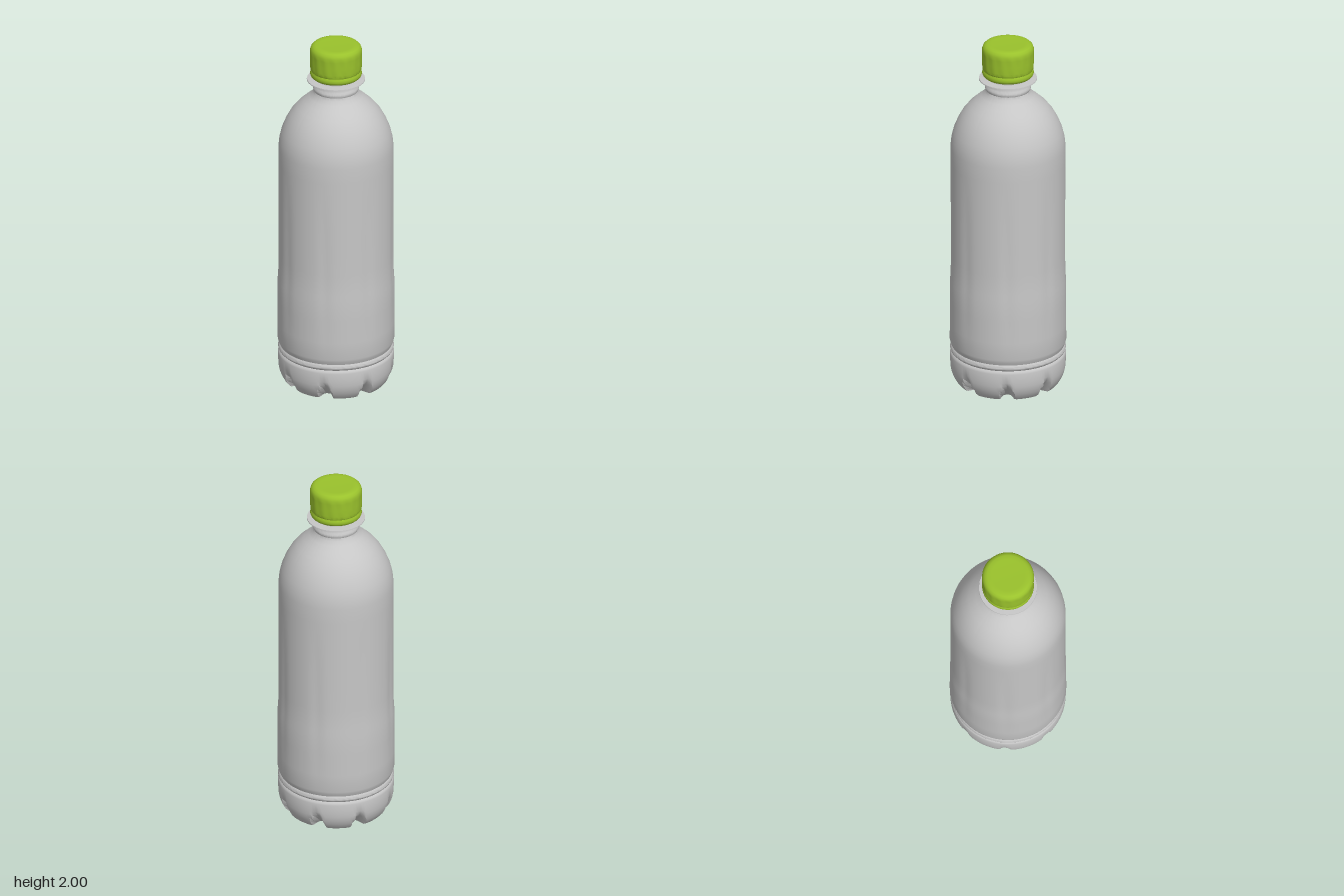
import * as THREE from 'three';
import { toCreasedNormals } from 'three/addons/utils/BufferGeometryUtils.js';

const START = THREE.MathUtils.degToRad(-5); // direction of the first base notch
const STEP = Math.PI / 4;                   // eight notches and flutes
const clamp = THREE.MathUtils.clamp;

// Revolves a [radius, height] profile; reshape(r, y, angle) may alter each radius.
function turned(name, profile, segments, material, reshape) {
  const points = profile.map(([r, y]) => new THREE.Vector2(r, y));
  const geometry = new THREE.LatheGeometry(points, segments, START);
  const pos = geometry.attributes.position;
  if (reshape) {
    for (let i = 0; i < pos.count; i++) {
      const x = pos.getX(i), y = pos.getY(i), z = pos.getZ(i);
      const r = Math.hypot(x, z);
      if (r < 0.01) continue;
      const s = reshape(r, y, Math.atan2(x, z) - START) / r;
      pos.setXYZ(i, x * s, y, z * s);
    }
  }
  const mesh = new THREE.Mesh(toCreasedNormals(geometry, 0.7), material);
  mesh.name = name;
  return mesh;
}

// Wedge-shaped notches between the feet, and faint upright flutes on the wall
function shapeBody(r, y, angle) {
  const offset = Math.abs(angle - STEP * Math.round(angle / STEP));
  if (y < 0.115 && r > 0.25) {
    const up = y / 0.115;
    const halfWidth = 0.15 - 0.09 * up;
    const cut = clamp((halfWidth - offset) / 0.06, 0, 1);
    return r - 0.065 * (1 - up) * cut;
  }
  if (y > 0.25 && y < 1.3) {
    const fade = Math.sin(Math.PI * (y - 0.25) / 1.05);
    return r - 0.004 * fade * clamp(1 - offset / 0.15, 0, 1);
  }
  return r;
}

// Soft grip ripples around the cap
function shapeCap(r, y, angle) {
  return y > 1.86 && y < 1.96 ? r - 0.0015 * (1 + Math.cos(angle * 16)) : r;
}

export function createModel() {
  const plastic = new THREE.MeshStandardMaterial({ color: 0xc6c6c6 });
  plastic.name = 'grey plastic';
  const green = new THREE.MeshStandardMaterial({ color: 0x9ac22c });
  green.name = 'green plastic';

  const bottle = new THREE.Group();
  bottle.name = 'bottle';

  // Base, grooved band, wall, shoulder and neck
  bottle.add(turned('body', [
    [0, 0], [0.2, 0], [0.272, 0], [0.285, 0.015], [0.299, 0.04], [0.308, 0.065],
    [0.313, 0.09], [0.314, 0.115], [0.315, 0.165], [0.312, 0.176], [0.305, 0.183],
    [0.312, 0.19], [0.315, 0.2], [0.312, 0.21], [0.306, 0.218], [0.313, 0.235],
    [0.317, 0.25], [0.317, 0.35], [0.317, 0.48], [0.317, 0.6], [0.314, 0.63],
    [0.313, 0.75], [0.313, 0.9], [0.313, 1.05], [0.313, 1.18], [0.313, 1.3],
    [0.313, 1.39], [0.308, 1.44], [0.296, 1.49], [0.276, 1.54], [0.249, 1.59],
    [0.213, 1.635], [0.175, 1.67], [0.145, 1.695], [0.126, 1.715], [0.12, 1.73],
    [0.124, 1.738], [0.124, 1.75], [0.118, 1.758], [0.114, 1.77], [0.114, 1.82],
  ], 128, plastic, shapeBody));

  // Thin collar under the cap
  bottle.add(turned('collar', [
    [0.11, 1.786], [0.15, 1.789], [0.159, 1.793], [0.158, 1.798], [0.11, 1.801],
  ], 32, plastic));

  // Cap with tamper band and rounded top
  bottle.add(turned('cap', [
    [0, 1.813], [0.13, 1.813], [0.137, 1.819], [0.141, 1.83], [0.139, 1.844],
    [0.135, 1.851], [0.139, 1.858], [0.142, 1.875], [0.142, 1.91], [0.142, 1.95],
    [0.141, 1.97], [0.136, 1.985], [0.126, 1.995], [0.112, 2], [0.09, 1.999], [0, 1.998],
  ], 64, green, shapeCap));

  return bottle;
}
